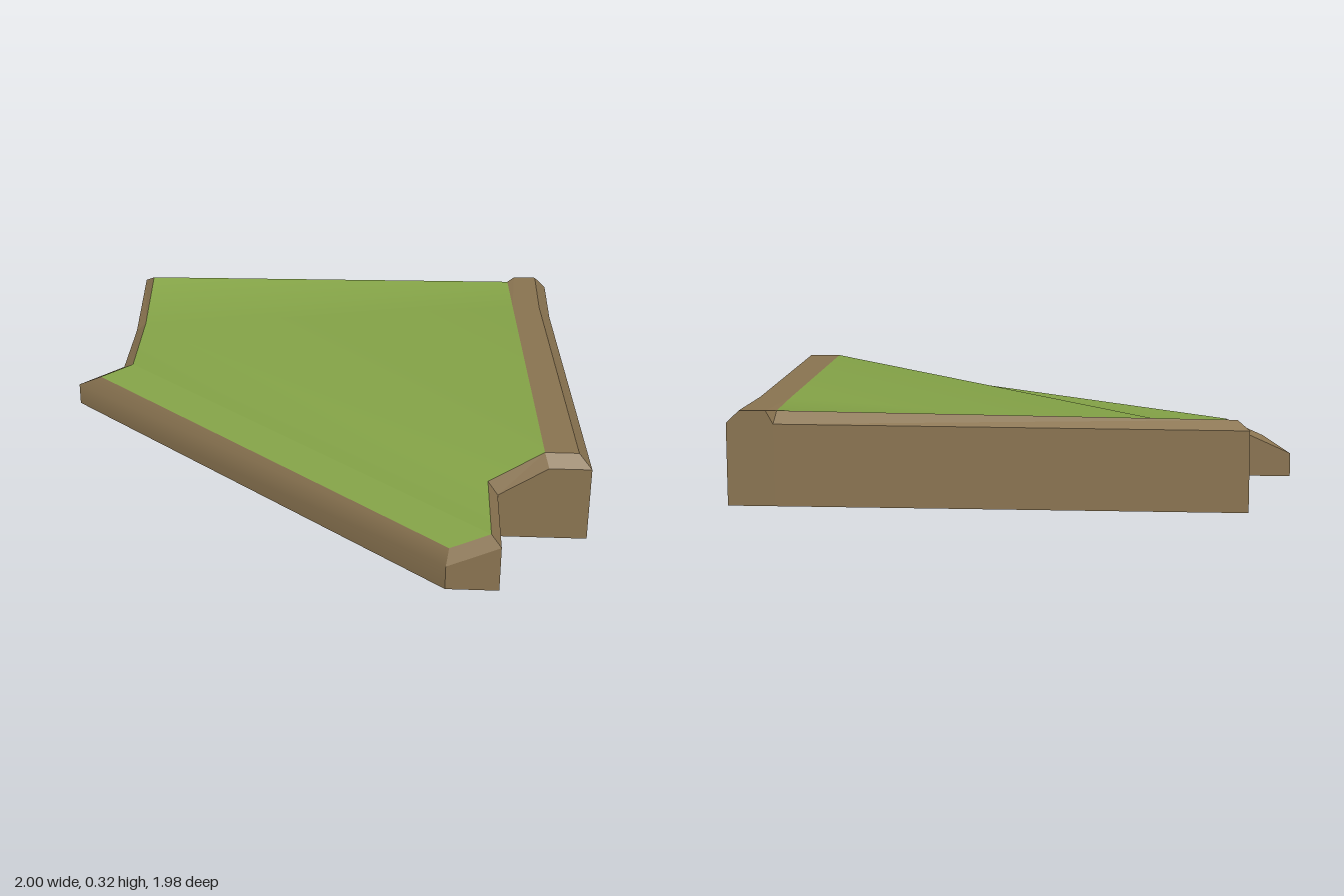
import * as THREE from 'three';

// Rim stations, counterclockwise from above: outer [x, y, z], inner [x, y, z]
const RIM = [
  [[-0.81, 0.275, -0.99], [-0.77, 0.305, -0.95]],   // 0 back left corner
  [[-0.81, 0.175, -0.67], [-0.77, 0.21, -0.67]],    // 1 left dip
  [[-0.81, 0.17, -0.325], [-0.765, 0.205, -0.28]],  // 2 left notch
  [[-1, 0.085, -0.325], [-0.9, 0.145, -0.28]],      // 3 left tip
  [[0.49, 0.09, 0.99], [0.5, 0.145, 0.96]],         // 4 front tip
  [[0.675, 0.17, 0.99], [0.64, 0.205, 0.96]],       // 5 front corner
  [[0.675, 0.17, 0.635], [0.64, 0.205, 0.6]],       // 6 right notch
  [[0.85, 0.282, 0.635], [0.835, 0.325, 0.595]],    // 7 bank start
  [[1, 0.282, 0.635], [0.955, 0.325, 0.595]],       // 8 bank corner
  [[0.935, 0.282, -0.67], [0.89, 0.325, -0.67]],    // 9 bank bend
  [[0.935, 0.282, -0.99], [0.89, 0.325, -0.99]],    // 10 back right corner
  [[0.8, 0.325, -0.99], [0.8, 0.325, -0.99]],       // 11 bank back edge
  [[0.775, 0.28, -0.99], [0.77, 0.32, -0.95]],      // 12 grass back corner
];
const DIAGONAL = 3; // station where the long diagonal side starts

// Fan-triangulates polygons of [x, y, z] points, flat shaded
function faces(polygons) {
  const pos = [];
  for (const p of polygons) {
    for (let i = 1; i < p.length - 1; i++) pos.push(...p[0], ...p[i], ...p[i + 1]);
  }
  const geo = new THREE.BufferGeometry();
  geo.setAttribute('position', new THREE.Float32BufferAttribute(pos, 3));
  geo.computeVertexNormals();
  return geo;
}

// Shares points between triangles, smooth shaded
function smoothFaces(points, index) {
  const geo = new THREE.BufferGeometry();
  geo.setAttribute('position', new THREE.Float32BufferAttribute(points.flat(), 3));
  geo.setIndex(index);
  geo.computeVertexNormals();
  return geo;
}

export function createModel() {
  const group = new THREE.Group();
  const earth = new THREE.MeshStandardMaterial({ name: 'earth brown', color: 0x8a7451 });
  const grass = new THREE.MeshStandardMaterial({ name: 'grass green', color: 0x84a347 });
  const add = (name, geo, mat) => {
    const mesh = new THREE.Mesh(geo, mat);
    mesh.name = name;
    group.add(mesh);
  };

  const outer = RIM.map((s) => s[0]);
  const inner = RIM.map((s) => s[1]);
  const bend = [0.78, 0.325, -0.67]; // where grass meets the bank bend

  // Vertical sides and the bevel above them; the diagonal side is rounded
  const walls = [], bevels = [];
  const ground = ([x, , z]) => [x, 0, z];
  outer.forEach((a, i) => {
    const j = (i + 1) % outer.length;
    const b = outer[j];
    if (i === DIAGONAL) {
      const rows = [ground(a), ground(b), a, b, inner[i], inner[j]];
      add('diagonalSide', smoothFaces(rows, [0, 1, 3, 0, 3, 2, 2, 3, 5, 2, 5, 4]), earth);
    } else {
      walls.push([ground(a), ground(b), b, a]);
      bevels.push([a, b, inner[j], inner[i]]);
    }
  });
  add('sideWalls', faces(walls), earth);
  add('bevelledRim', faces(bevels), earth);

  // Flat bank top along the right edge
  add('bankTop', faces([
    [inner[7], inner[8], inner[9], bend],
    [bend, inner[9], inner[10], inner[11]],
    [bend, inner[11], inner[12]],
  ]), earth);

  // Gently rolling grass with a ridge from the left dip to the bank start
  add('grassField', smoothFaces([...inner, bend], [
    2, 5, 6, 2, 6, 1, 1, 6, 7, 1, 7, 13, 1, 13, 12, 1, 12, 0,
  ]), grass);

  // Grass slope down to the diagonal edge
  add('grassSlope', faces([[inner[3], inner[4], inner[5], inner[2]]]), grass);

  // Underside
  const outline = outer.map(([x, , z]) => new THREE.Vector2(x, z));
  const base = new THREE.ShapeGeometry(new THREE.Shape(outline));
  base.rotateX(Math.PI / 2);
  add('underside', base, earth);

  return group;
}
